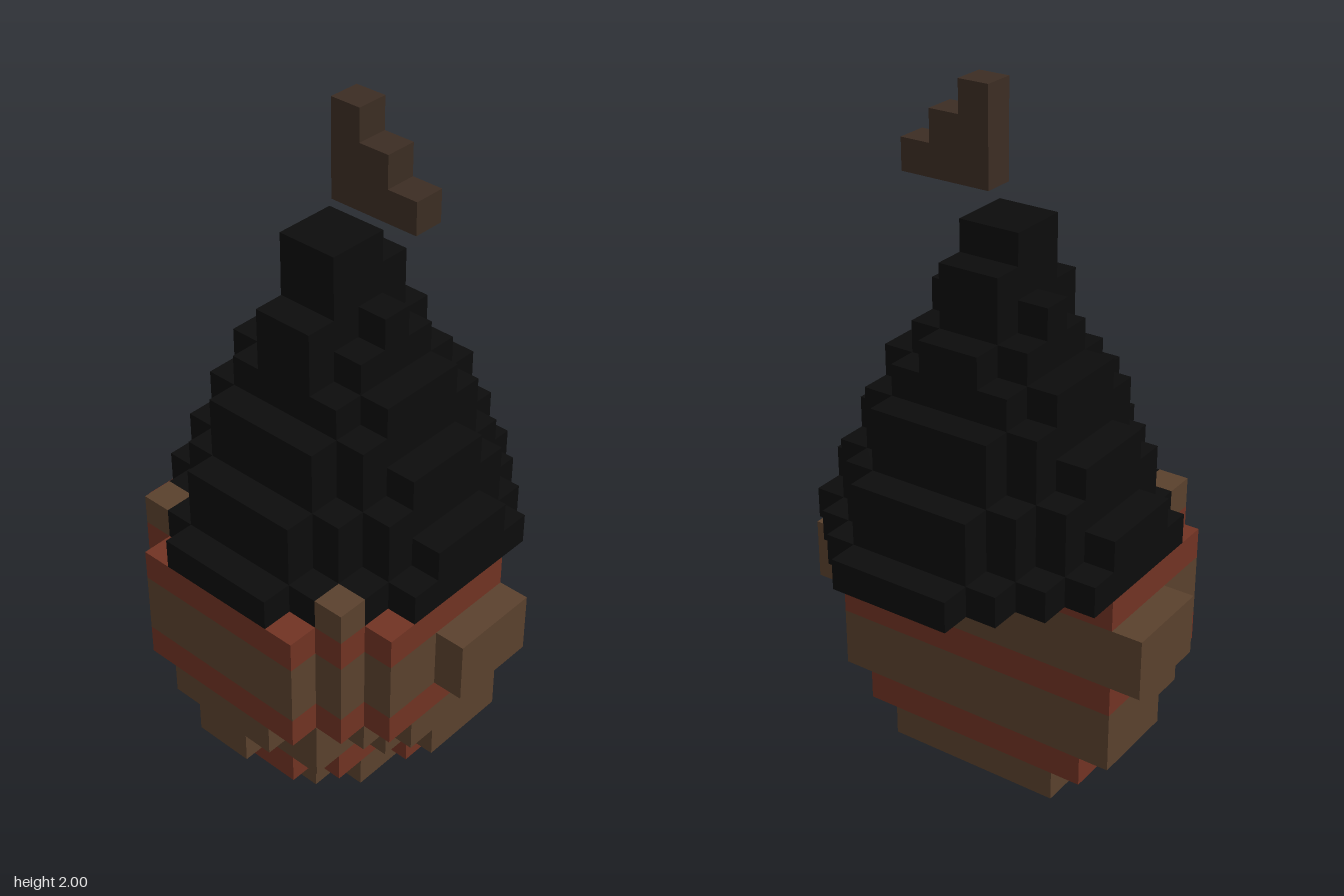
import * as THREE from 'three';

// one block of the stepped construction
const U = 1 / 11;

function material(name, color) {
  const m = new THREE.MeshStandardMaterial({ color });
  m.name = name;
  return m;
}

// Staircase outline: steps run from wide to narrow as [halfWidth, z]
function stairs(steps) {
  const pts = [];
  steps.forEach(([w, z], i) => {
    pts.push([w, z]);
    if (i + 1 < steps.length) pts.push([steps[i + 1][0], z]);
  });
  return pts;
}

// Horizontal slab with a mirrored stepped plan, all sizes in blocks
function slab(name, y0, y1, front, back, mat) {
  const right = [...stairs(back).reverse(), ...stairs(front)];
  const left = right.map(([x, z]) => [-x, z]).reverse();
  const pts = [...right, ...left].map(([x, z]) => new THREE.Vector2(x * U, -z * U));
  const geo = new THREE.ExtrudeGeometry(new THREE.Shape(pts), { depth: (y1 - y0) * U, bevelEnabled: false });
  geo.rotateX(-Math.PI / 2);
  const mesh = new THREE.Mesh(geo, mat);
  mesh.name = name;
  mesh.position.y = y0 * U;
  return mesh;
}

// Box given by its corner ranges in blocks
function block(name, [x0, x1], [y0, y1], [z0, z1], mat) {
  const mesh = new THREE.Mesh(new THREE.BoxGeometry((x1 - x0) * U, (y1 - y0) * U, (z1 - z0) * U), mat);
  mesh.name = name;
  mesh.position.set((x0 + x1) * U / 2, (y0 + y1) * U / 2, (z0 + z1) * U / 2);
  return mesh;
}

export function createModel() {
  const brown = material('brown', 0x5a412d);
  const red = material('rust red', 0x713323);
  const black = material('black', 0x0c0c0c);
  const darkBrown = material('dark brown', 0x3c2d23);
  const model = new THREE.Group();
  model.name = 'flamePot';

  // pot: flat back, rounded stepped front, alternating bands
  const pot = new THREE.Group();
  pot.name = 'pot';
  const wall = [[5, 3.5], [4, 4.5], [3, 5.5]];
  const bands = [
    ['base', 0, 1, [[3, 2.5], [2, 3.5]], brown],
    ['lowerBand', 1, 2, [[4, 1.5], [3, 3.5], [2, 4.5]], red],
    ['lowerBelly', 2, 3, [[5, 1.5], [4, 2.5], [3, 4.5], [1, 5.5]], brown],
    ['belly', 3, 4, [[5, 2.5], [4, 3.5], [3, 4.5], [2, 5.5]], brown],
    ['middleBand', 4, 5, wall, red],
    ['upperBelly', 5, 7, wall, brown],
    ['rimBand', 7, 8, wall, red],
  ];
  for (const [name, y0, y1, front, mat] of bands) {
    pot.add(slab(name, y0, y1, front, [[front[0][0], -1.5]], mat));
  }
  // handles and rim posts on both sides
  for (const [side, s] of [['left', 1], ['right', -1]]) {
    const range = (a, b) => (s > 0 ? [a, b] : [-b, -a]);
    pot.add(block(side + 'Handle', range(5, 6), [5, 7], [-1.5, 1.5], brown));
    pot.add(block(side + 'RimPost', range(3, 4), [8, 9], [3.5, 4.5], brown));
  }
  model.add(pot);

  // tapering plume, one plan per layer
  const plume = new THREE.Group();
  plume.name = 'plume';
  const plans = [
    [[5, 2.5], [4, 3.5], [3, 4.5], [2, 5.5]],
    [[5, 1.5], [4, 2.5], [3, 3.5], [2, 4.5]],
    [[4, 2.5], [3, 3.5], [2, 4.5]],
    [[4, 1.5], [3, 2.5], [2, 3.5]],
    [[3, 2.5], [2, 3.5]],
    [[3, 1.5], [2, 2.5]],
    [[2, 1.5], [1, 2.5]],
    [[2, 0.5], [1, 2.5]],
    [[1, 1.5]],
    [[1, 1.5]],
  ];
  // the two tip layers lean forward
  const backPlans = { 7: [[2, -0.5], [1, -1.5]], 9: [[1, -0.5]] };
  plans.forEach((front, i) => {
    const back = backPlans[i] || front.map(([w, z]) => [w, -z]);
    plume.add(slab('plumeLayer' + (i + 1), 8 + i, 9 + i, front, back, black));
  });
  model.add(plume);

  // floating stepped spark above the tip
  const spark = new THREE.Group();
  spark.name = 'spark';
  for (let i = 0; i < 3; i++) {
    spark.add(block('sparkStep' + (i + 1), [i, i + 1], [19, 22 - i], [-0.5, 0.5], darkBrown));
  }
  model.add(spark);
  return model;
}
